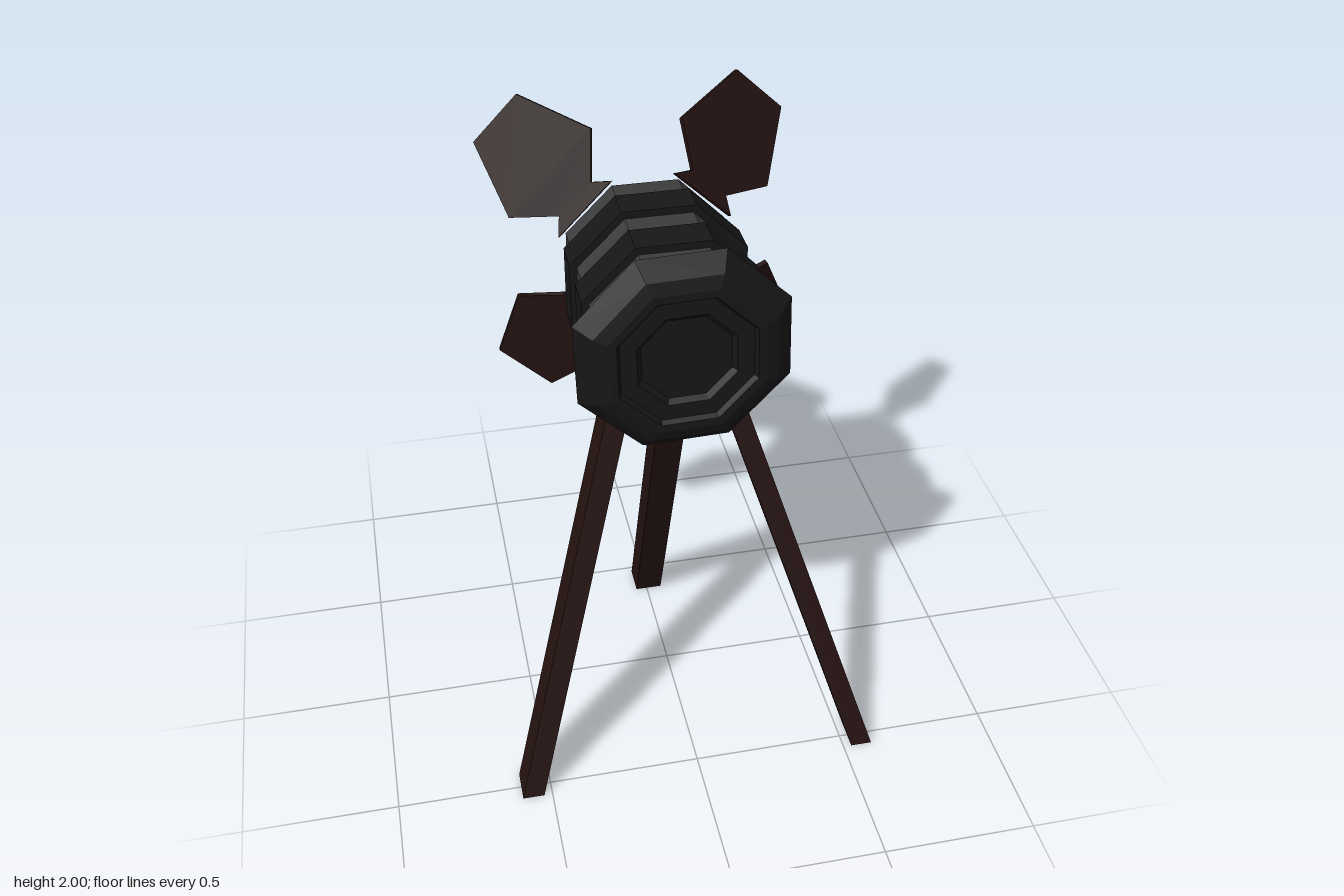
import * as THREE from 'three';

const material = (color) => new THREE.MeshStandardMaterial({ color, flatShading: true });
const brown = material(0x241311);
const black = material(0x171717);
const grey = material(0x3c3c3c);
const paleGrey = material(0xcccccc);
const yellow = material(0xe0c81e);

const AXIS_Y = 1.485; // height of the lamp axis

function addMesh(parent, name, geometry, mat) {
  const mesh = new THREE.Mesh(geometry, mat);
  mesh.name = name;
  parent.add(mesh);
  return mesh;
}

// Eight-sided turned part along z; profile is [flat-to-centre distance, z], from back to front
function octagonal(profile) {
  const k = 1 / Math.cos(Math.PI / 8);
  const points = profile.map(([r, z]) => new THREE.Vector2(r * k, z));
  return new THREE.LatheGeometry(points, 8, Math.PI / 8).rotateX(Math.PI / 2);
}

// Solid through a row of four-cornered cross-sections, with both ends capped
function loft(sections) {
  const positions = [];
  const quad = (a, b, c, d) => positions.push(...a, ...b, ...c, ...a, ...c, ...d);
  for (let i = 0; i < sections.length - 1; i++) {
    const p = sections[i], q = sections[i + 1];
    for (let j = 0; j < 4; j++) {
      const k = (j + 1) % 4;
      quad(p[j], p[k], q[k], q[j]);
    }
  }
  const first = sections[0], last = sections[sections.length - 1];
  quad(first[3], first[2], first[1], first[0]);
  quad(last[0], last[1], last[2], last[3]);
  const geometry = new THREE.BufferGeometry();
  geometry.setAttribute('position', new THREE.Float32BufferAttribute(positions, 3));
  geometry.computeVertexNormals();
  return geometry;
}

// Slanted leg, cut level at both ends
function legGeometry(foot, top, width, depth) {
  const section = ([x, y, z], w) => [
    [x - w / 2, y, z + depth / 2], [x + w / 2, y, z + depth / 2],
    [x + w / 2, y, z - depth / 2], [x - w / 2, y, z - depth / 2],
  ];
  return loft([section(foot, width), section(top, width)]);
}

// Shutter pointing along +y: rows of [half width, distance from axis, z]
function shutterGeometry(rows) {
  const t = 0.008;
  return loft(rows.map(([w, d, z], i) => {
    const a = rows[Math.max(i - 1, 0)], b = rows[Math.min(i + 1, rows.length - 1)];
    const dy = b[1] - a[1], dz = b[2] - a[2], length = Math.hypot(dy, dz);
    const ny = (-dz / length) * t, nz = (dy / length) * t;
    return [
      [-w, d + ny, z + nz], [w, d + ny, z + nz],
      [w, d - ny, z - nz], [-w, d - ny, z - nz],
    ];
  }));
}

export function createModel() {
  const model = new THREE.Group();
  model.name = 'tripodLamp';

  const lamp = new THREE.Group();
  lamp.name = 'lampHead';
  lamp.position.y = AXIS_Y;
  model.add(lamp);

  // Barrel with two raised bands
  addMesh(lamp, 'barrel', octagonal([[0, -0.33], [0.257, -0.33], [0.257, 0.23], [0, 0.23]]), grey);
  for (const [name, z] of [['rearBand', -0.22], ['frontBand', 0]]) {
    addMesh(lamp, name, octagonal([
      [0.25, z], [0.28, z], [0.28, z + 0.11], [0.25, z + 0.11],
    ]), black);
  }

  // Flared end cap with stepped recesses
  const cap = addMesh(lamp, 'endCap', octagonal([
    [0.25, 0.22], [0.325, 0.245], [0.275, 0.3], [0.235, 0.315], [0.21, 0.315],
    [0.2, 0.3], [0.15, 0.3], [0.135, 0.285], [0, 0.285],
  ]), black);
  cap.rotation.z = 0.03;

  // Bulb on its socket
  addMesh(lamp, 'socket', octagonal([[0, -0.355], [0.1, -0.355], [0.1, -0.33]]), paleGrey);
  addMesh(lamp, 'bulb', octagonal([
    [0, -0.445], [0.035, -0.438], [0.085, -0.41], [0.125, -0.362], [0.12, -0.352], [0, -0.352],
  ]), yellow);

  // Four shutters on the diagonals, one of them bent flat
  const flared = [
    [0.125, 0.268, -0.325], [0.075, 0.305, -0.35], [0.195, 0.4, -0.41], [0.103, 0.605, -0.54],
  ];
  const bent = [
    [0.125, 0.268, -0.325], [0.075, 0.29, -0.405], [0.2, 0.39, -0.411], [0.115, 0.59, -0.412],
  ];
  const shutters = [
    ['upperLeftShutter', -43, flared], ['upperRightShutter', 46, flared],
    ['lowerRightShutter', 137, bent], ['lowerLeftShutter', -132, flared],
  ];
  for (const [name, degrees, rows] of shutters) {
    const shutter = addMesh(lamp, name, shutterGeometry(rows), brown);
    shutter.rotation.z = THREE.MathUtils.degToRad(degrees);
  }

  // Tripod
  for (const [name, side] of [['leftLeg', 1], ['rightLeg', -1]]) {
    addMesh(model, name, legGeometry([side * 0.562, 0, 0.497], [side * 0.165, 1.26, 0.062], 0.07, 0.106), brown);
  }
  addMesh(model, 'backLeg', legGeometry([0.007, 0, -0.425], [0.007, 1.26, 0.065], 0.093, 0.102), brown);

  return model;
}
